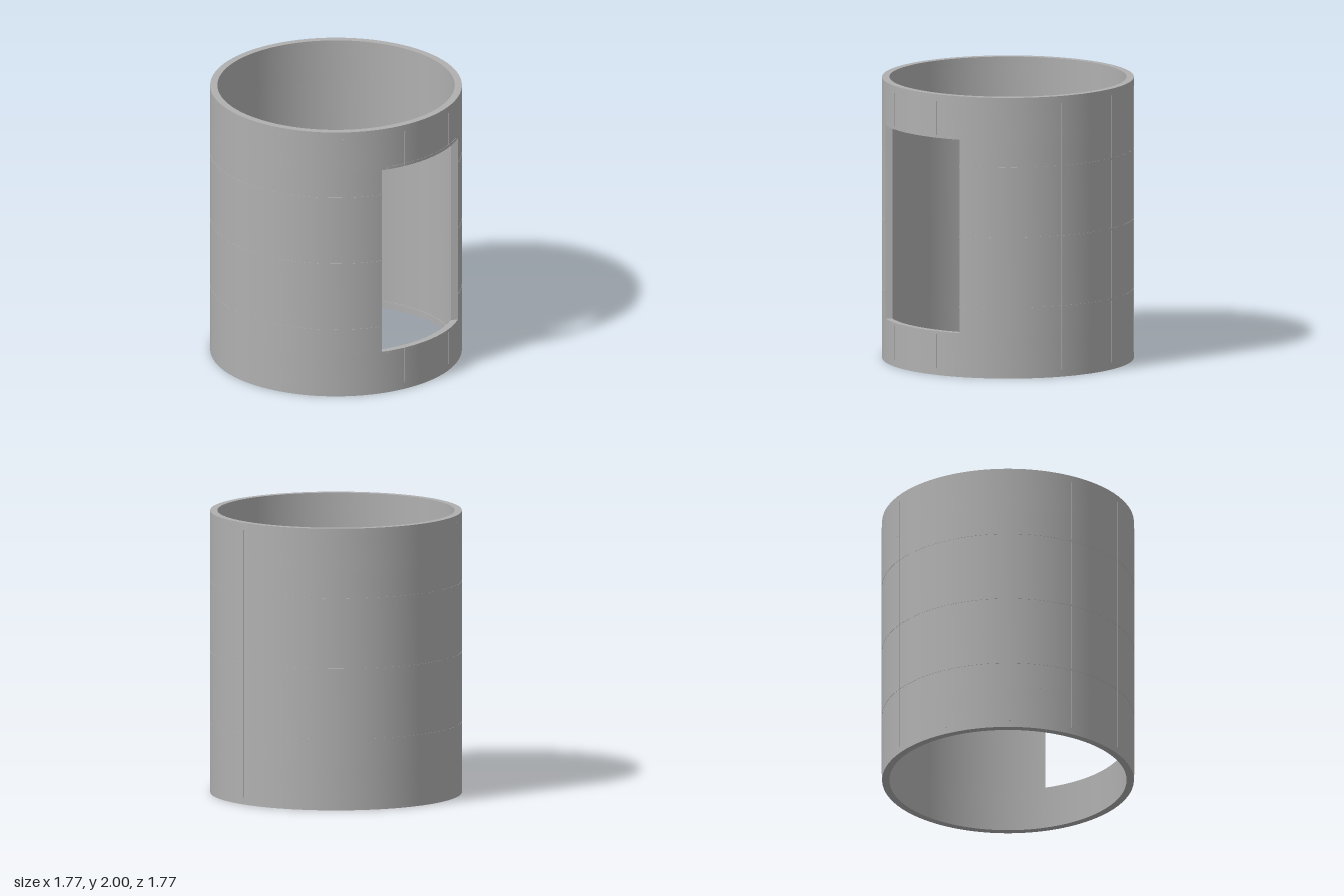
import * as THREE from 'three';
import { toCreasedNormals } from 'three/addons/utils/BufferGeometryUtils.js';

const R = 0.884;        // outer radius
const WALL = 0.838;     // inner radius of the wall
const LIP = 0.833;      // inner radius of the rim lips
const DOOR = [0.313, 1.69];
const JAMB_OUT = 0.471, JAMB_IN = 0.452; // half angles of the doorway, outside and inside

export function createModel() {
  const group = new THREE.Group();
  group.name = 'cylindricalShell';
  const grey = new THREE.MeshStandardMaterial({ color: 0xb0b0b0 });
  grey.name = 'grey';

  const add = (name, geometry) => {
    const mesh = new THREE.Mesh(geometry, grey);
    mesh.name = name;
    group.add(mesh);
    return mesh;
  };

  // Upright extrusion of a plan outline between two heights
  const upright = (shape, y0, y1) => {
    const g = new THREE.ExtrudeGeometry(shape, { depth: y1 - y0, bevelEnabled: false, curveSegments: 96 });
    g.rotateX(-Math.PI / 2);
    g.translate(0, y0, 0);
    return toCreasedNormals(g, 0.5);
  };

  // Complete ring
  const ring = (name, inner, outer, y0, y1) => {
    const shape = new THREE.Shape().absarc(0, 0, outer, 0, Math.PI * 2, false);
    shape.holes.push(new THREE.Path().absarc(0, 0, inner, 0, Math.PI * 2, true));
    return add(name, upright(shape, y0, y1));
  };

  // Ring sector between angles a and b outside, c and d inside
  const sector = (name, inner, outer, y0, y1, a, b, c = a, d = b) => {
    const shape = new THREE.Shape();
    shape.absarc(0, 0, outer, a, b, false);
    shape.absarc(0, 0, inner, d, c, true);
    shape.closePath();
    return add(name, upright(shape, y0, y1));
  };

  // Rim lips and the full wall above and below the doorway
  ring('bottomLip', LIP, R, 0, 0.05);
  ring('lowerWall', WALL, R, 0.05, DOOR[0]);
  ring('upperWall', WALL, R, DOOR[1], 1.95);
  ring('topLip', LIP, R, 1.95, 2);

  // Wall beside the doorway, which opens towards +x
  const turn = Math.PI * 2;
  sector('doorwayWall', WALL, R, DOOR[0], DOOR[1], JAMB_OUT, turn - JAMB_OUT, JAMB_IN, turn - JAMB_IN);

  // Thin trims along the sill and the head of the doorway
  sector('doorSill', R - 0.004, R + 0.002, DOOR[0] - 0.02, DOOR[0], -0.42, 0.42);
  sector('doorHead', R - 0.004, R + 0.002, DOOR[1], DOOR[1] + 0.02, -0.42, 0.42);

  // Horizontal seam bands, broken at the doorway
  for (const y of [0.5, 1, 1.5]) {
    sector('seamBand', R - 0.004, R + 0.002, y - 0.006, y + 0.006, JAMB_OUT, turn - JAMB_OUT);
  }

  // Vertical seam ribs every 30 degrees, interrupted by the doorway
  for (let i = 0; i < 12; i++) {
    const angle = Math.PI / 12 + i * Math.PI / 6;
    const spans = i === 0 || i === 11 ? [[0.05, DOOR[0]], [DOOR[1], 1.95]] : [[0.05, 1.95]];
    for (const [y0, y1] of spans) {
      const rib = add('seamRib', new THREE.BoxGeometry(0.008, y1 - y0, 0.01));
      rib.position.set((R - 0.001) * Math.cos(angle), (y0 + y1) / 2, (R - 0.001) * Math.sin(angle));
      rib.rotation.y = -angle;
    }
  }
  return group;
}
